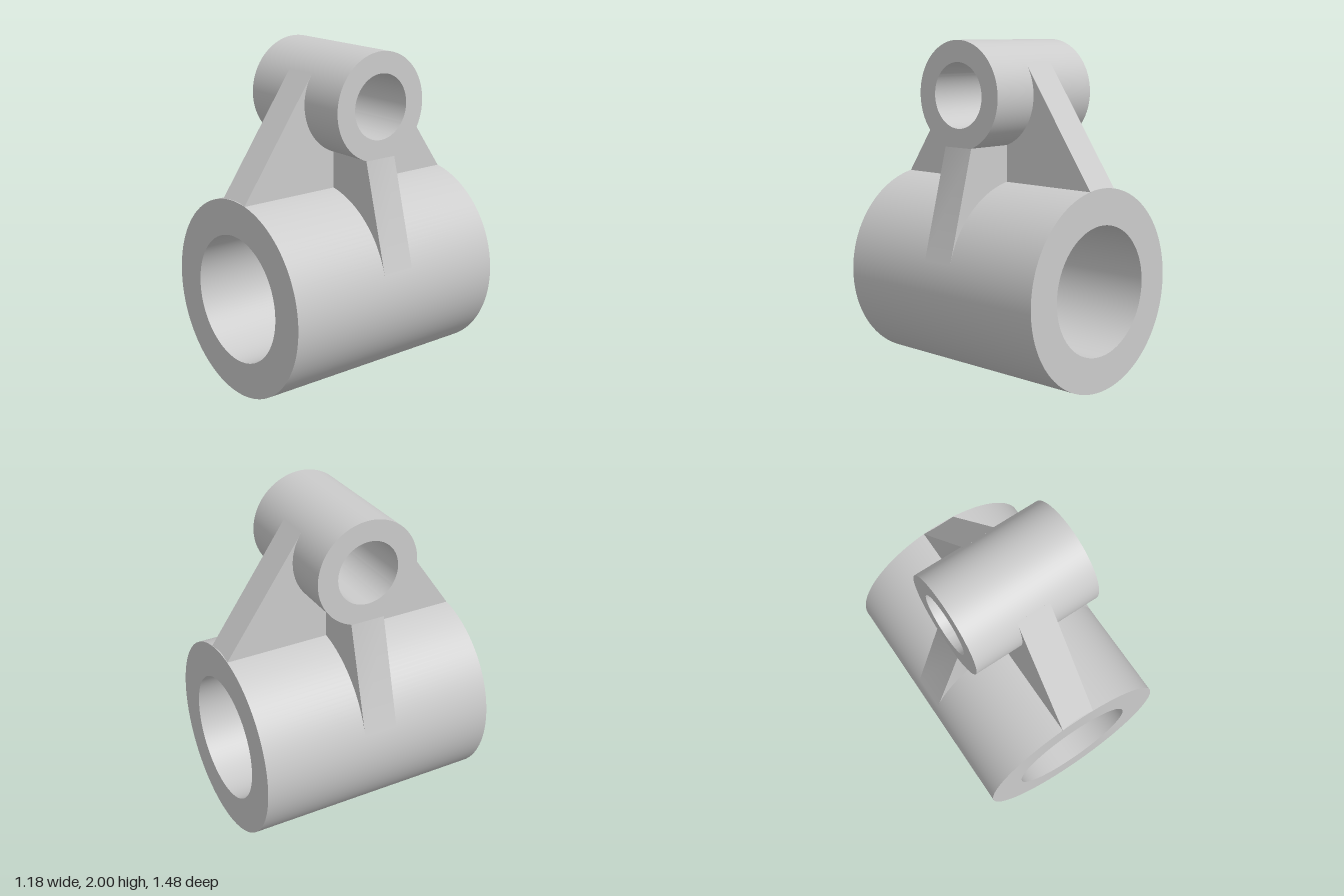
import * as THREE from 'three';
import { toCreasedNormals } from 'three/addons/utils/BufferGeometryUtils.js';

const material = new THREE.MeshStandardMaterial({ color: 0xcccccc });

const MAIN = { y: 0.59, outer: 0.59, inner: 0.38, half: 0.74 };
const CROSS = { y: 1.685, outer: 0.315, inner: 0.19, half: 0.4 };
const RIB_HALF = 0.105;

// Extrude a shape symmetrically about its plane, keeping curved walls smooth
function extrude(name, shape, half) {
  const geometry = new THREE.ExtrudeGeometry(shape, { depth: 2 * half, bevelEnabled: false, curveSegments: 64 });
  geometry.translate(0, 0, -half);
  const mesh = new THREE.Mesh(toCreasedNormals(geometry, Math.PI / 6), material);
  mesh.name = name;
  return mesh;
}

// Hollow sleeve with its axis along z
function sleeve(name, { y, outer, inner, half }) {
  const shape = new THREE.Shape().absarc(0, y, outer, 0, 2 * Math.PI, false);
  shape.holes.push(new THREE.Path().absarc(0, y, inner, 0, 2 * Math.PI, true));
  return extrude(name, shape, half);
}

// Web from the full length of one sleeve, with flanks tangent to the other sleeve's circle.
// It ends within both sleeve walls so the bores stay clear.
function rib(name, base, round) {
  const dir = Math.sign(round.y - base.y);
  const edgeY = base.y + dir * Math.sqrt(base.outer ** 2 - RIB_HALF ** 2);
  const rootY = base.y + dir * (base.outer + base.inner) / 2;
  const w = base.half - 0.0005;

  // Tangent point, measured as an angle from the horizontal away from the base
  const dy = Math.abs(round.y - edgeY);
  const angle = Math.acos(round.outer / Math.hypot(w, dy)) - Math.atan2(dy, w);
  const tx = round.outer * Math.cos(angle);
  const ty = round.y + dir * round.outer * Math.sin(angle);
  const a = dir * angle;
  const end = dir > 0 ? Math.PI - angle : Math.PI + angle;

  const shape = new THREE.Shape();
  shape.moveTo(-w, rootY);
  shape.lineTo(w, rootY);
  shape.lineTo(w, edgeY);
  shape.lineTo(tx, ty);
  shape.absarc(0, round.y, (round.outer + round.inner) / 2, a, end, dir > 0);
  shape.lineTo(-tx, ty);
  shape.lineTo(-w, edgeY);
  shape.closePath();
  return extrude(name, shape, RIB_HALF);
}

export function createModel() {
  const group = new THREE.Group();
  group.name = 'crossSleeveBracket';

  // Large sleeve along z, small sleeve along x
  const mainSleeve = sleeve('mainSleeve', MAIN);
  const crossSleeve = sleeve('crossSleeve', CROSS);
  crossSleeve.rotation.y = Math.PI / 2;

  // Two crossing webs join the sleeves
  const longRib = rib('longitudinalRib', MAIN, CROSS);
  longRib.rotation.y = Math.PI / 2;
  const sideRib = rib('transverseRib', CROSS, MAIN);

  group.add(mainSleeve, crossSleeve, longRib, sideRib);
  return group;
}
